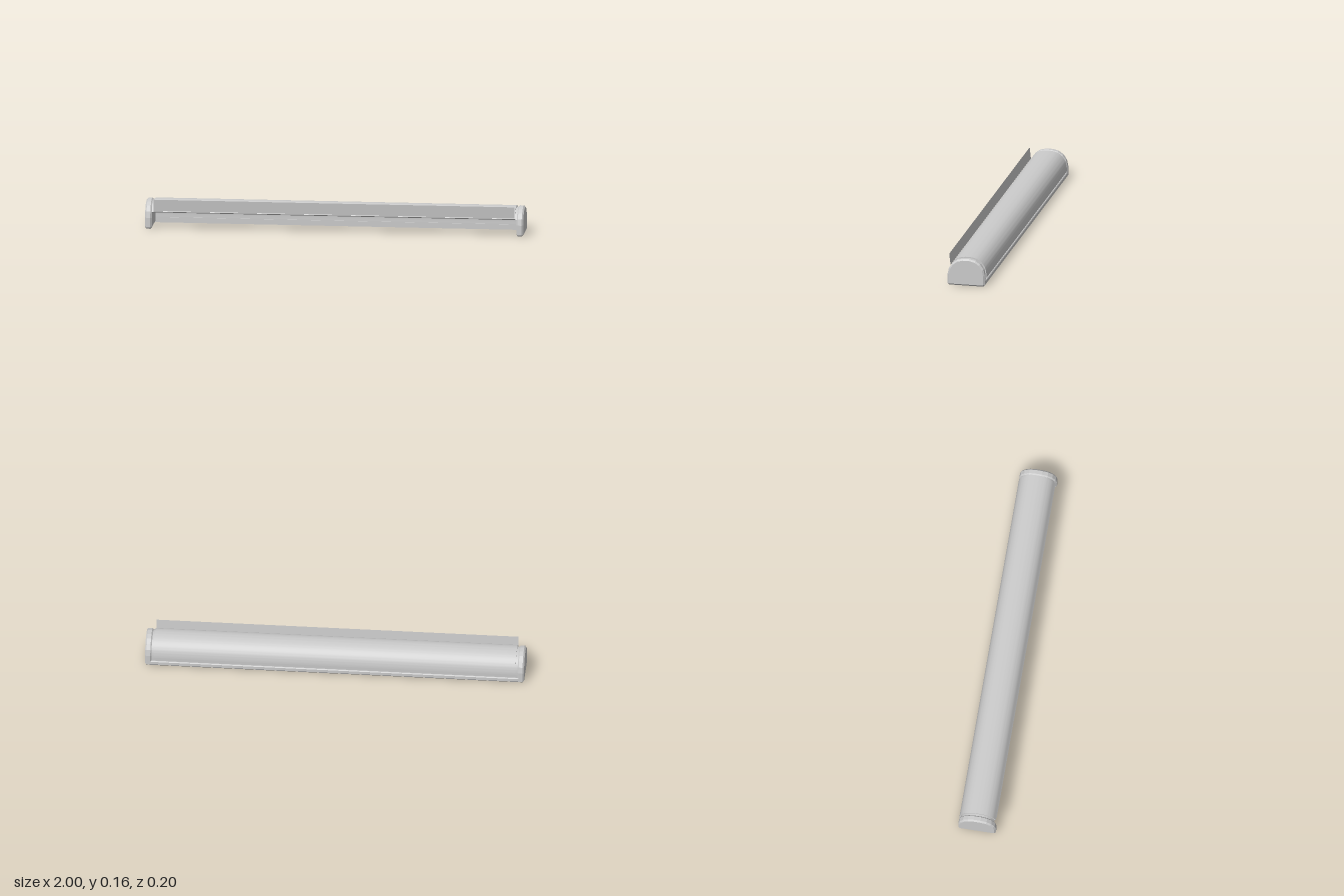
import * as THREE from 'three';
import { toCreasedNormals } from 'three/addons/utils/BufferGeometryUtils.js';

const grey = new THREE.MeshStandardMaterial({ color: 0xcccccc });
const thin = new THREE.MeshStandardMaterial({ color: 0xcccccc, side: THREE.DoubleSide });

// Extrude a [z, y] outline along x, centred on x = 0
function extrudeX(points, length, bevel = 0) {
  const shape = new THREE.Shape(points.map(([z, y]) => new THREE.Vector2(-z, y)));
  const geo = new THREE.ExtrudeGeometry(shape, {
    depth: length - 2 * bevel, bevelEnabled: bevel > 0, bevelSegments: 1,
    bevelSize: bevel, bevelThickness: bevel, bevelOffset: -bevel,
  });
  geo.rotateY(Math.PI / 2);
  geo.translate(bevel - length / 2, 0, 0);
  return geo;
}

// Faceted dome, from the front shoulder over the top to the back shoulder
const half = [[0.1, 0.06], [0.093, 0.093], [0.075, 0.12], [0.05, 0.138], [0.018, 0.146]];
const dome = [...half, ...half.map(([z, y]) => [-z, y]).reverse()];

// Thin curved shell, open at the front below the hinge and underneath
function shellOutline(offset, thickness, bottom) {
  const path = [...half.slice(1), ...dome.slice(5), [-0.1, bottom]];
  const curve = new THREE.CatmullRomCurve3(path.map(([z, y]) => new THREE.Vector3(z, y, 0)), false, 'centripetal');
  const line = (d) => curve.getPoints(48).map((p, i) => {
    const t = curve.getTangent(i / 48);
    return [p.x + t.y * -d, p.y + t.x * d];
  });
  return [...line(offset), ...line(offset + thickness).reverse()];
}

export function createModel() {
  const group = new THREE.Group();
  const add = (name, geo, material = grey) => {
    const mesh = new THREE.Mesh(geo, material);
    mesh.name = name;
    group.add(mesh);
    return mesh;
  };

  // Chamfered end caps
  const capOutline = [[-0.1, 0.008], [-0.092, 0], [0.092, 0], [0.1, 0.008], ...dome];
  for (const side of [-1, 1]) {
    add(side > 0 ? 'leftEndCap' : 'rightEndCap', extrudeX(capOutline, 0.036, 0.008)).position.x = side * 0.982;
  }

  // Outer cover and the recessed liner that leaves a groove around it
  const inward = shellOutline(0, -0.006, 0.037).map(([z, y]) => [z, y]);
  const sign = inward[inward.length - 25][1] < 0.146 ? 1 : -1;
  add('cover', toCreasedNormals(extrudeX(shellOutline(0, -0.007 * sign, 0.037), 1.91), 0.6), thin);
  add('liner', toCreasedNormals(extrudeX(shellOutline(-0.007 * sign, -0.004 * sign, 0.02), 1.94), 0.6), thin);

  // Rail along the back bottom edge
  add('backRail', extrudeX([[-0.1, 0.008], [-0.092, 0], [-0.084, 0], [-0.084, 0.028], [-0.097, 0.028], [-0.1, 0.024]], 1.95));

  // Thin raised flap hinged on the front of the cover
  const flap = new THREE.PlaneGeometry(1.91, 0.062);
  flap.rotateX(0.11);
  flap.translate(0, 0.127, 0.0965);
  add('frontFlap', flap, thin);

  return group;
}
